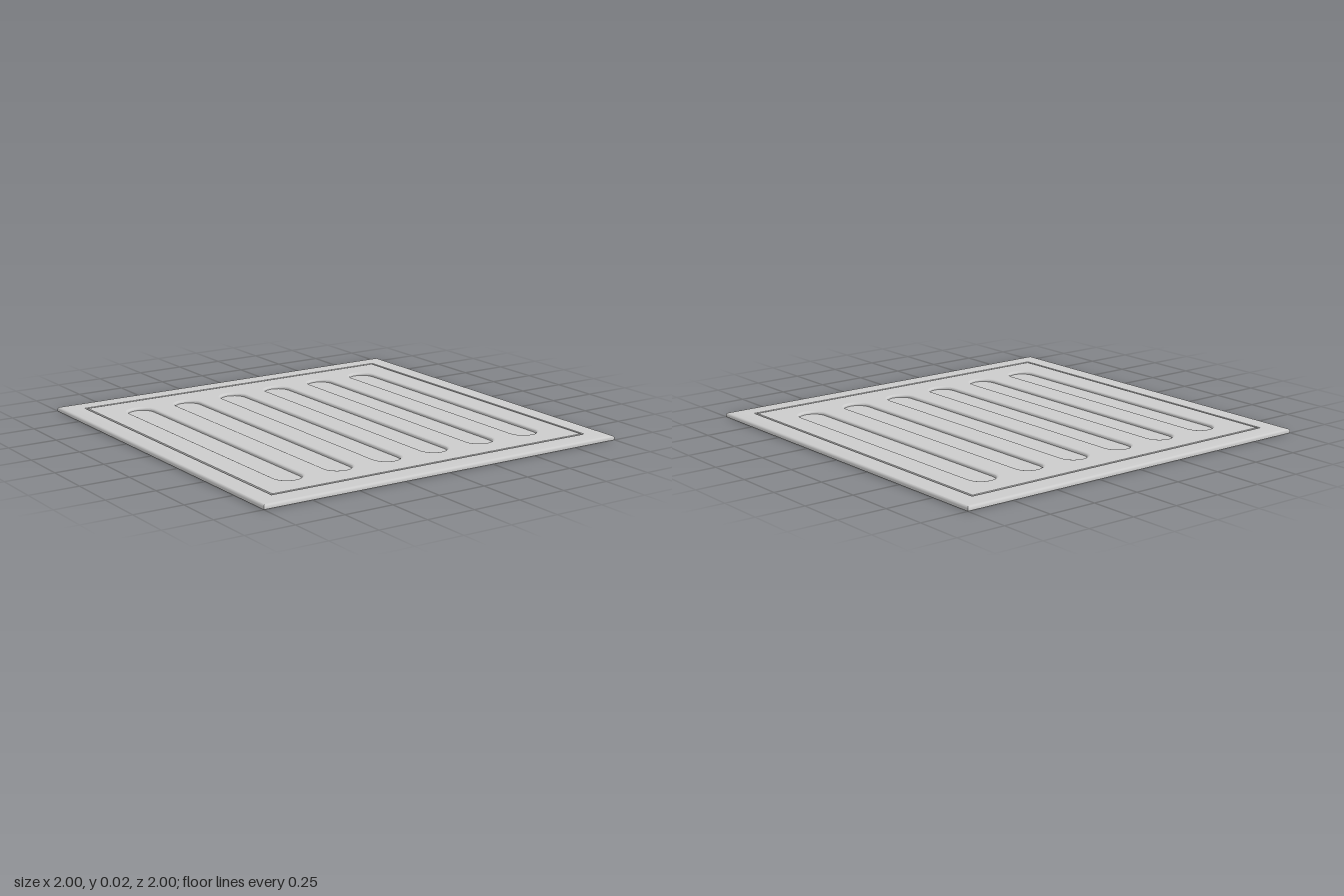
import * as THREE from 'three';
import { toCreasedNormals } from 'three/addons/utils/BufferGeometryUtils.js';

const TOP = 0.022;
const material = new THREE.MeshStandardMaterial({ color: 0xcccccc });

// Outlines in plan, counter-clockwise seen from above
const square = h => [[h, -h], [h, h], [-h, h], [-h, -h]].map(p => new THREE.Vector2(...p));

function stadium(cx, r, halfStraight, segments = 10) {
  const points = [];
  for (const end of [1, -1]) {
    for (let i = 0; i <= segments; i++) {
      const a = Math.PI * i / segments + (end > 0 ? 0 : Math.PI);
      points.push(new THREE.Vector2(cx + r * Math.cos(a), end * halfStraight + r * Math.sin(a)));
    }
  }
  return points;
}

// Skin a list of rings, each { y, outline }
function loft(rings, crease) {
  const positions = [], index = [];
  const n = rings[0].outline.length;
  for (const { y, outline } of rings) for (const p of outline) positions.push(p.x, y, -p.y);
  for (let r = 0; r < rings.length - 1; r++) {
    for (let i = 0; i < n; i++) {
      const a = r * n + i, b = r * n + (i + 1) % n;
      index.push(a, b, b + n, a, b + n, a + n);
    }
  }
  const geometry = new THREE.BufferGeometry();
  geometry.setAttribute('position', new THREE.Float32BufferAttribute(positions, 3));
  geometry.setIndex(index);
  return toCreasedNormals(geometry, crease);
}

function addMesh(group, name, geometry) {
  const mesh = new THREE.Mesh(geometry, material);
  mesh.name = name;
  group.add(mesh);
}

export function createModel() {
  const group = new THREE.Group();
  group.name = 'ribbedTile';

  // Plate: underside with a groove, softened outer edge, fine groove on top
  const profile = [
    [0, 0], [0.87, 0], [0.874, 0.005], [0.894, 0.005], [0.898, 0],
    [1, 0], [1, 0.012], [0.997, 0.017], [0.992, 0.0205], [0.985, TOP],
    [0.896, TOP], [0.892, TOP - 0.005], [0.888, TOP - 0.005], [0.884, TOP],
  ];
  addMesh(group, 'plate', loft(profile.map(([h, y]) => ({ y, outline: square(h) })), 0.55));

  // Top panel pierced by six long slots
  const slotRadius = 0.0675, halfStraight = 0.685, lip = 0.013;
  const centres = [-2.5, -1.5, -0.5, 0.5, 1.5, 2.5].map(k => k * 0.2725);
  const panel = new THREE.Shape(square(0.884));
  for (const cx of centres) panel.holes.push(new THREE.Path(stadium(cx, slotRadius + lip, halfStraight)));
  const panelGeometry = new THREE.ShapeGeometry(panel);
  panelGeometry.rotateX(-Math.PI / 2).translate(0, TOP, 0);
  addMesh(group, 'topPanel', panelGeometry);

  // Slots: rounded lip, short wall and closed floor
  const slotProfile = [
    [lip, TOP], [0.008, TOP - 0.001], [0.004, TOP - 0.003], [0.001, TOP - 0.006],
    [0, TOP - 0.009], [0, 0.008], [-slotRadius, 0.008],
  ];
  for (const cx of centres) {
    const rings = slotProfile.map(([d, y]) => ({ y, outline: stadium(cx, slotRadius + d, halfStraight) }));
    addMesh(group, 'slot', loft(rings, 0.7));
  }
  return group;
}
